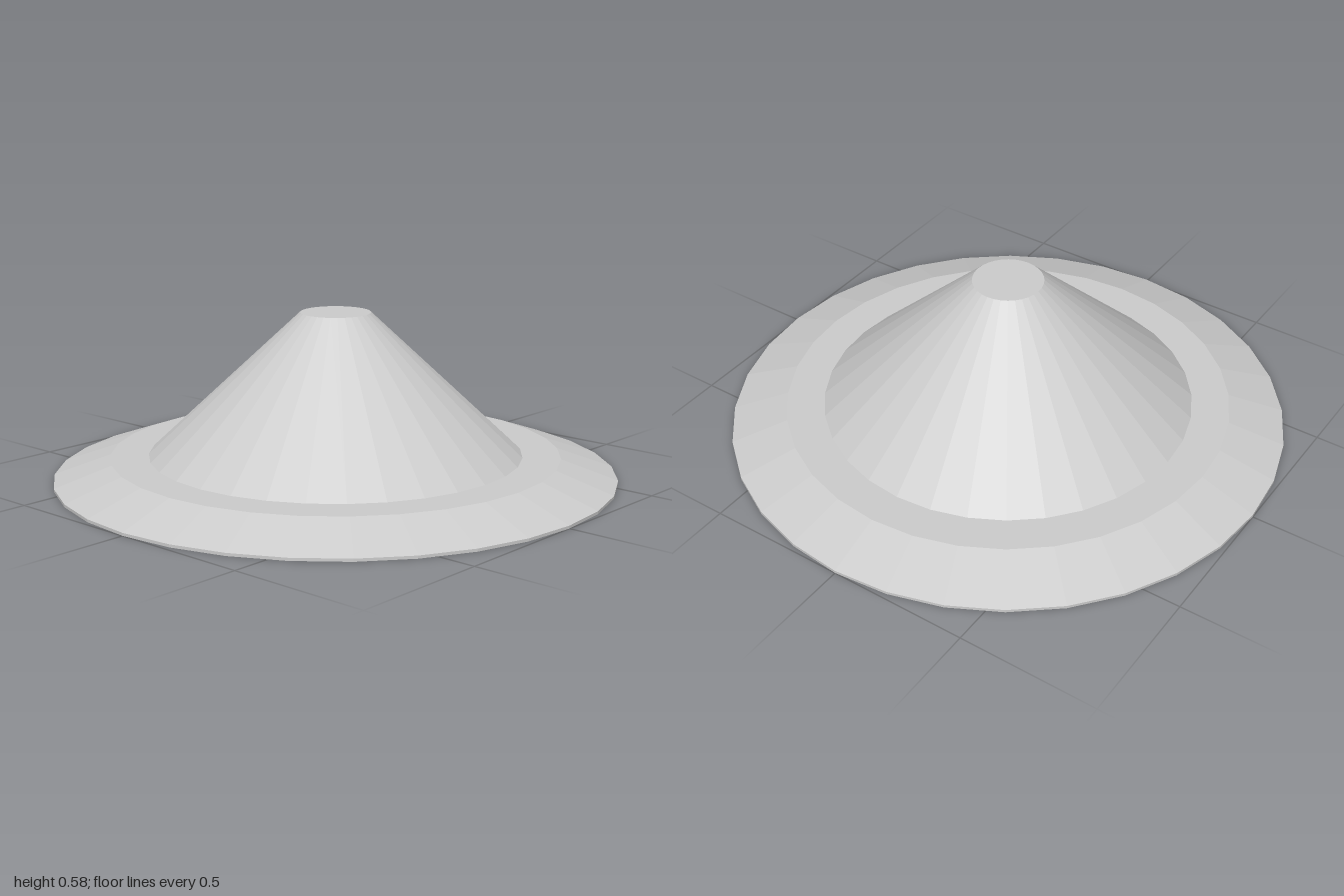
import * as THREE from 'three';

const SIDES = 32;
const THICKNESS = 0.01;

// Faceted solid of revolution from a list of [radius, height] pairs
function turned(name, profile, material) {
  const points = profile.map(([r, y]) => new THREE.Vector2(r, y));
  const geometry = new THREE.LatheGeometry(points, SIDES).toNonIndexed();
  geometry.computeVertexNormals();
  const mesh = new THREE.Mesh(geometry, material);
  mesh.name = name;
  return mesh;
}

export function createModel() {
  const model = new THREE.Group();
  model.name = 'conicalHat';
  const grey = new THREE.MeshStandardMaterial({ color: 0xcccccc, flatShading: true });
  grey.name = 'light grey';

  // Upper outlines, from the outside inwards
  const brimTop = [[1, 0.01], [0.8, 0.08], [0.665, 0.08]];
  const crownTop = [[0.665, 0.08], [0.125, 0.585], [0, 0.585]];
  const underside = (outline) => outline.map(([r, y]) => [r, y - THICKNESS]).reverse();

  // Brim: flat ring, sloping skirt, thin outer edge and matching underside
  model.add(turned('brim', [...underside(brimTop), ...brimTop], grey));

  // Crown: hollow truncated cone with a flat closed top
  model.add(turned('crownOutside', crownTop, grey));
  model.add(turned('crownLining', underside(crownTop), grey));

  return model;
}
